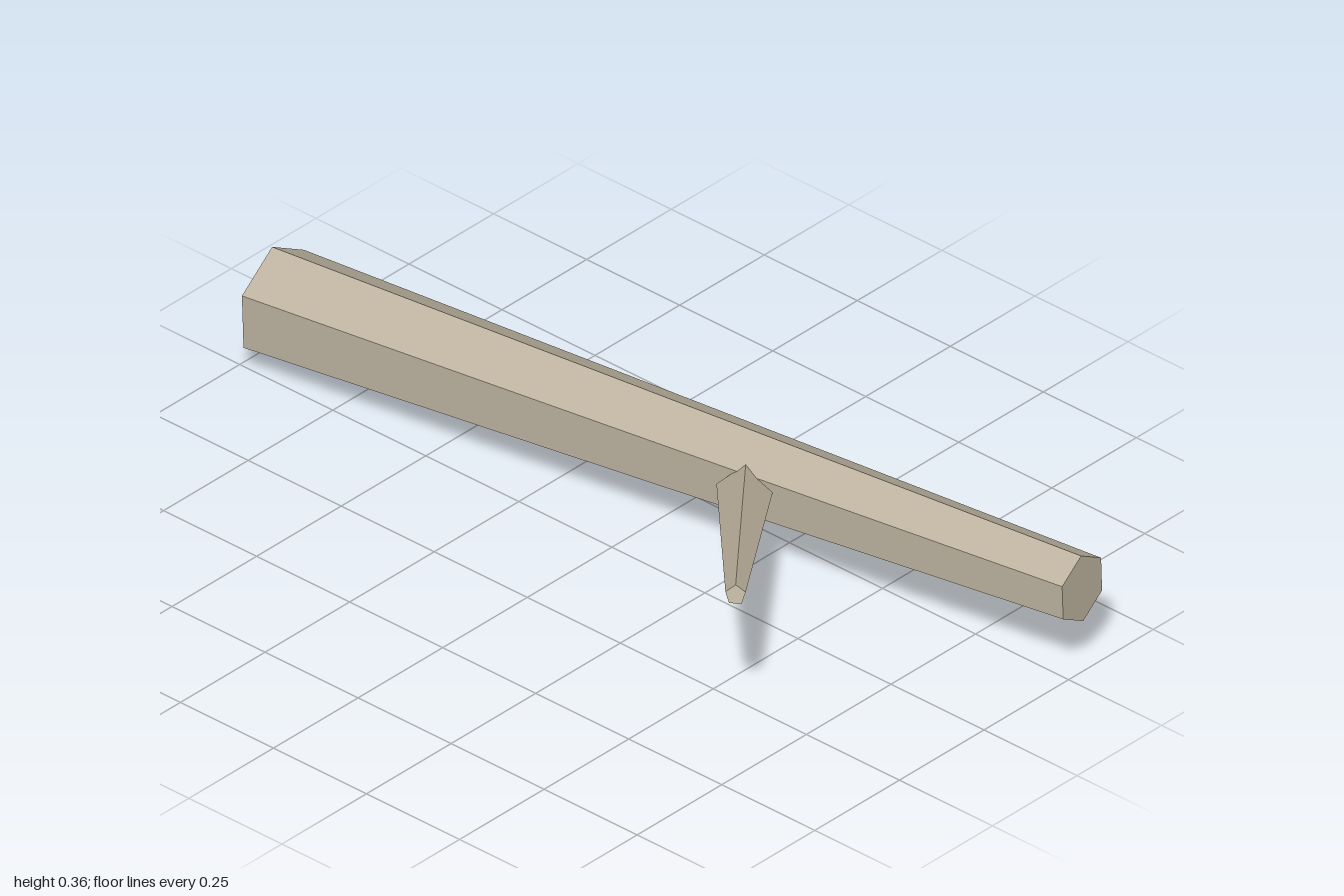
import * as THREE from 'three';

// Tapered straight limb with one corner facing upward, capped square to its axis
function limb(name, start, end, r0, r1, sides, material) {
  const a = new THREE.Vector3(...start);
  const b = new THREE.Vector3(...end);
  const axis = b.clone().sub(a);
  const length = axis.length();
  axis.normalize();
  const side = axis.clone().cross(new THREE.Vector3(0, 1, 0)).normalize();
  const up = side.clone().cross(axis);
  const geometry = new THREE.CylinderGeometry(r1, r0, length, sides, 1);
  geometry.applyMatrix4(new THREE.Matrix4().makeBasis(side, axis, up));
  const mesh = new THREE.Mesh(geometry, material);
  mesh.name = name;
  mesh.position.copy(a).add(b).multiplyScalar(0.5);
  return mesh;
}

export function createModel() {
  const wood = new THREE.MeshStandardMaterial({ color: 0xbcb29e, flatShading: true });
  wood.name = 'dry wood';

  const group = new THREE.Group();
  group.name = 'fallenLog';
  // Six-sided trunk lying on the ground, five-sided branch stub
  group.add(limb('trunk', [-0.986, 0.123, -0.085], [0.989, 0.188, -0.302], 0.121, 0.076, 6, wood));
  group.add(limb('branch', [0.229, 0.16, -0.143], [0.657, 0.342, 0.357], 0.061, 0.0212, 5, wood));
  return group;
}
